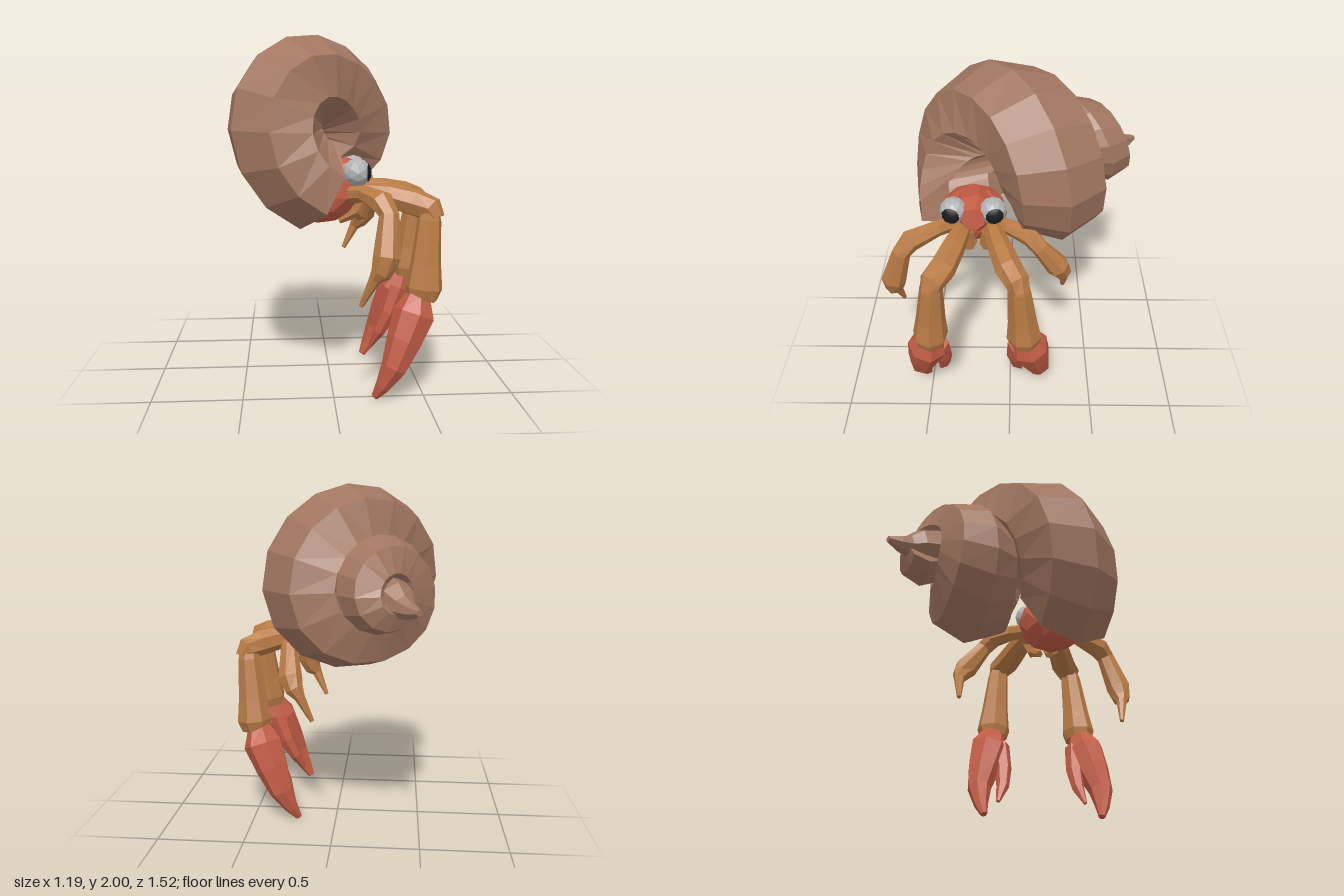
import * as THREE from 'three';

const V = (x, y, z) => new THREE.Vector3(x, y, z);

// Faceted skin over a list of equal-sized rings of points
function skin(rings, capStart, capEnd) {
  const pos = [], n = rings[0].length;
  const tri = (...ps) => ps.forEach(p => pos.push(p.x, p.y, p.z));
  const middle = ring => ring.reduce((s, p) => s.add(p), V(0, 0, 0)).divideScalar(n);
  for (let i = 0; i < rings.length - 1; i++) {
    for (let j = 0; j < n; j++) {
      const k = (j + 1) % n;
      tri(rings[i][j], rings[i][k], rings[i + 1][k]);
      tri(rings[i][j], rings[i + 1][k], rings[i + 1][j]);
    }
  }
  const first = rings[0], last = rings[rings.length - 1];
  for (let j = 0; j < n; j++) {
    const k = (j + 1) % n;
    if (capStart) tri(middle(first), first[k], first[j]);
    if (capEnd) tri(middle(last), last[j], last[k]);
  }
  const g = new THREE.BufferGeometry();
  g.setAttribute('position', new THREE.Float32BufferAttribute(pos, 3));
  g.computeVertexNormals();
  return g;
}

// Limb through rows of [x, y, z, radius]; side is the direction of its hinge axis
function limb(rows, side, sides = 7) {
  const pts = rows.map(r => V(r[0], r[1], r[2]));
  const rings = rows.map((row, i) => {
    const t = pts[Math.min(i + 1, pts.length - 1)].clone().sub(pts[Math.max(i - 1, 0)]).normalize();
    const b = side.clone().addScaledVector(t, -side.dot(t)).normalize();
    const c = t.clone().cross(b);
    return Array.from({ length: sides }, (_, j) => {
      const a = j / sides * Math.PI * 2;
      return pts[i].clone().addScaledVector(b, Math.cos(a) * row[3]).addScaledVector(c, Math.sin(a) * row[3]);
    });
  });
  return skin(rings, true, true);
}

// Coiled shell: rows of [distance along axis, coil radius, tube radius], a quarter turn apart
function shellGeometry() {
  const rows = [
    [-0.22, 0.32, 0.25], [-0.06, 0.32, 0.265], [0.10, 0.28, 0.262], [0.19, 0.295, 0.255],
    [0.34, 0.20, 0.215], [0.40, 0.145, 0.175], [0.49, 0.12, 0.158], [0.59, 0.135, 0.135],
    [0.65, 0.085, 0.095],
  ];
  const curve = new THREE.CatmullRomCurve3(rows.map(r => V(...r)), false, 'catmullrom');
  const axis = V(-0.42, 0, -0.908), across = V(0.908, 0, -0.42), up = V(0, 1, 0);
  const base = V(0, 1.45, 0).addScaledVector(across, -0.07);
  const steps = (rows.length - 1) * 4, sides = 7, rings = [];
  for (let i = 0; i <= steps; i++) {
    const [along, coil, tube] = curve.getPoint(i / steps).toArray();
    const phi = -2.0 - i * Math.PI / 8;
    const out = across.clone().multiplyScalar(Math.cos(phi)).addScaledVector(up, Math.sin(phi));
    const centre = base.clone().addScaledVector(axis, along).addScaledVector(out, coil);
    rings.push(Array.from({ length: sides }, (_, j) => {
      const a = j / sides * Math.PI * 2 + 0.1;
      return centre.clone().addScaledVector(out, Math.cos(a) * tube * 1.03)
        .addScaledVector(axis, -Math.sin(a) * tube * 1.2);
    }));
  }
  return skin(rings, false, true);
}

// Faceted ball
function ball(rx, ry, rz) {
  const g = new THREE.IcosahedronGeometry(1, 1).scale(rx, ry, rz);
  g.computeVertexNormals();
  return g;
}

export function createModel() {
  const model = new THREE.Group();
  const material = (name, color, extra) => {
    const m = new THREE.MeshStandardMaterial({ color, ...extra });
    m.name = name;
    return m;
  };
  const brown = material('shellBrown', 0xa17660, { side: THREE.DoubleSide });
  const tan = material('legTan', 0xb97b45);
  const red = material('clawRed', 0xc25c45);
  const grey = material('eyeGrey', 0xb0b3b5);
  const black = material('pupilBlack', 0x1c1c1c);
  const add = (name, geometry, mat, parent = model) => {
    const m = new THREE.Mesh(geometry, mat);
    m.name = name;
    parent.add(m);
    return m;
  };

  // Shell with a small horn at its apex
  add('shell', shellGeometry(), brown);
  add('shellTip', limb([
    [-0.28, 1.43, -0.47, 0.13], [-0.345, 1.41, -0.59, 0.105], [-0.38, 1.39, -0.65, 0.065],
    [-0.42, 1.38, -0.7, 0.045], [-0.46, 1.38, -0.757, 0.018],
  ], V(0, 1, 0)), brown);

  // Soft body in the mouth of the shell
  const body = add('body', ball(0.2, 0.17, 0.2), red);
  body.position.set(-0.03, 1.11, 0.22);
  body.rotation.z = 0.35;
  add('face', limb([[0, 1.16, 0.21, 0.14], [0.12, 1.2, 0.21, 0.115], [0.2, 1.21, 0.21, 0.07]], V(0, 0, 1)), red);

  // Arms mirror about this plane of z
  const mid = 0.188;
  for (const s of [1, -1]) {
    const label = s > 0 ? 'left' : 'right';
    const mirrored = rows => rows.map(([x, y, z, r]) => [x, y, mid + s * (z - mid), r]);
    const hinge = V(-0.2 * s, 0, 1).normalize();

    // Eye with a dark pupil cap
    const eye = new THREE.Group();
    eye.name = label + 'Eye';
    eye.position.set(0.14, 1.235, 0.212 + s * 0.113);
    model.add(eye);
    add('eyeball', ball(0.08, 0.08, 0.08), grey, eye);
    const cap = new THREE.SphereGeometry(0.081, 10, 3, 0, Math.PI * 2, 0, 0.7);
    cap.rotateZ(-Math.PI / 2).rotateY(-s * 0.2);
    add('pupil', cap, black, eye);

    // Claw arm: upper segment, then a lower segment widening to the wrist
    add(label + 'UpperArm', limb(mirrored([
      [0.06, 1.1, 0.26, 0.055], [0.2, 1.12, 0.285, 0.056], [0.32, 1.105, 0.32, 0.07],
      [0.46, 1.07, 0.37, 0.078], [0.54, 1.04, 0.42, 0.072], [0.56, 0.99, 0.435, 0.055],
    ]), hinge), tan);
    add(label + 'LowerArm', limb(mirrored([
      [0.53, 1.06, 0.42, 0.05], [0.53, 0.98, 0.43, 0.066], [0.51, 0.74, 0.45, 0.086],
      [0.5, 0.61, 0.46, 0.104], [0.49, 0.55, 0.46, 0.085],
    ]), hinge), tan);

    // Claw: palm with the long finger, and the short finger
    add(label + 'ClawPalm', limb(mirrored([
      [0.47, 0.57, 0.465, 0.07], [0.445, 0.47, 0.49, 0.118], [0.385, 0.33, 0.525, 0.1],
      [0.325, 0.19, 0.555, 0.072], [0.265, 0.08, 0.545, 0.042], [0.225, 0.015, 0.53, 0.02],
    ]), V(0, 0, 1)), red);
    add(label + 'ClawFinger', limb(mirrored([
      [0.44, 0.48, 0.425, 0.062], [0.38, 0.32, 0.408, 0.052], [0.32, 0.2, 0.415, 0.038], [0.27, 0.1, 0.445, 0.012],
    ]), V(0, 0, 1), 6), red);

    // Mouthpart folded under the face
    add(label + 'Mouthpart', limb(mirrored([
      [0.06, 1.1, 0.27, 0.045], [0.18, 1.09, 0.26, 0.05], [0.15, 1.01, 0.24, 0.045], [0.05, 0.95, 0.22, 0.02],
    ]), V(0, 0, 1), 6), tan);
  }

  // Walking legs, posed differently on each side
  const legs = {
    leftLeg: [
      [0.07, 1.11, 0.3, 0.045], [0.17, 1.13, 0.42, 0.048], [0.25, 1.1, 0.57, 0.066], [0.28, 1.04, 0.62, 0.055],
      [0.26, 0.83, 0.685, 0.074], [0.23, 0.75, 0.69, 0.057], [0.2, 0.72, 0.685, 0.034], [0.13, 0.57, 0.66, 0.013],
    ],
    rightLeg: [
      [0.07, 1.11, 0.1, 0.045], [0.17, 1.14, 0.0, 0.047], [0.24, 1.13, -0.11, 0.058], [0.27, 1.07, -0.17, 0.05],
      [0.25, 0.92, -0.28, 0.07], [0.22, 0.86, -0.31, 0.053], [0.19, 0.82, -0.32, 0.032], [0.12, 0.68, -0.32, 0.013],
    ],
  };
  for (const [name, rows] of Object.entries(legs)) {
    add(name, limb(rows, V(0.87, 0, name === 'leftLeg' ? -0.5 : 0.5)), tan);
  }
  return model;
}
